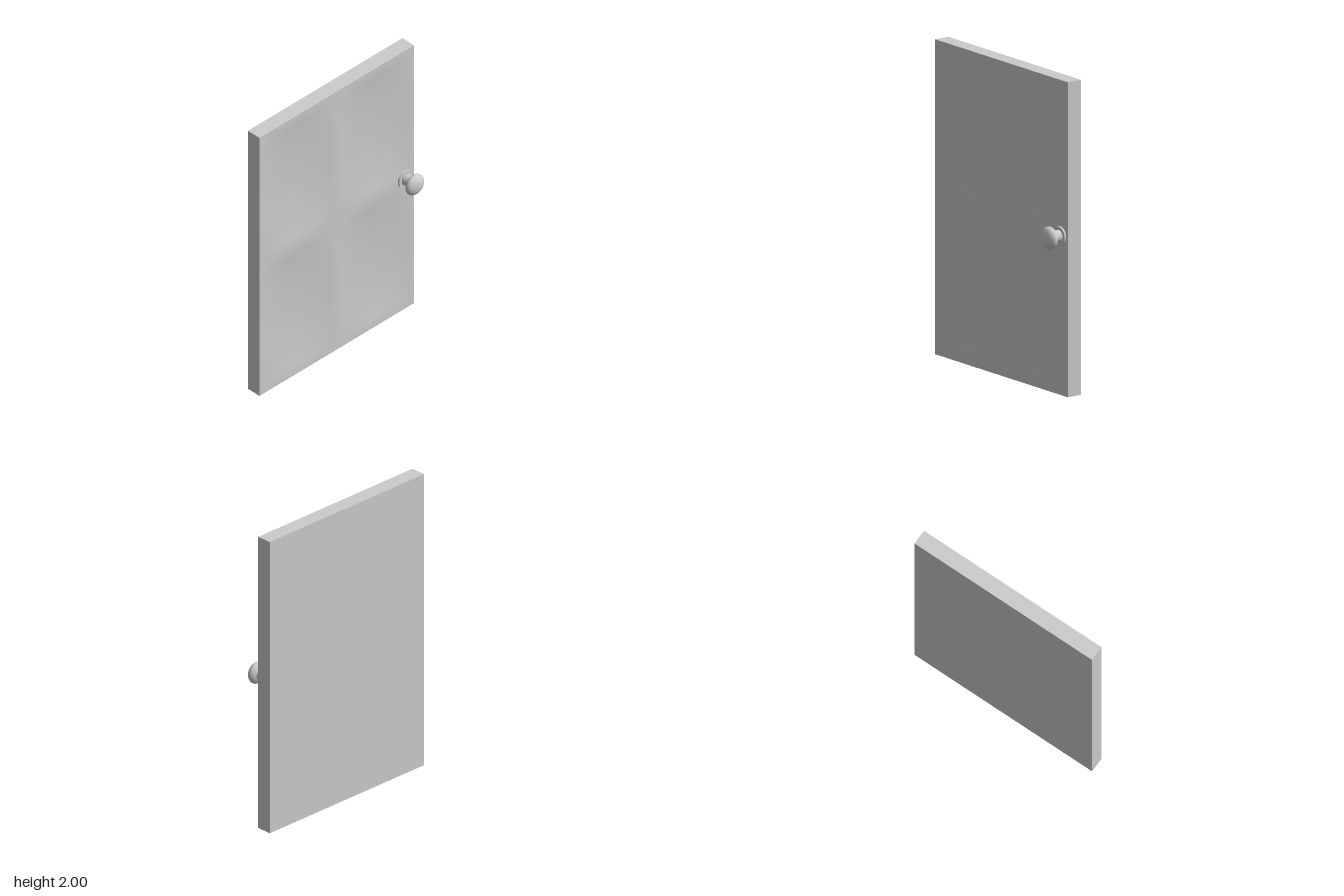
import * as THREE from 'three';

const material = new THREE.MeshStandardMaterial({ color: 0xcccccc });
const WIDTH = 1.332, HEIGHT = 2, THICKNESS = 0.102;

// Hollow across one half of the door: 0 at the narrow rails, 1 in the middle of a panel
function hollow(position, size) {
  const t = Math.abs(position) / (size / 2);
  return Math.max(0, 1 - ((t - 0.5) / 0.46) ** 2);
}

// Door slab whose front carries four softly hollowed panels
function createSlab() {
  const geometry = new THREE.BoxGeometry(WIDTH, HEIGHT, THICKNESS, 48, 64, 1);
  const position = geometry.attributes.position;
  const normal = geometry.attributes.normal;
  for (let i = 0; i < position.count; i++) {
    if (normal.getZ(i) < 0.5) continue;
    const depth = 0.025 * hollow(position.getX(i), WIDTH) * hollow(position.getY(i), HEIGHT);
    position.setZ(i, position.getZ(i) - depth);
  }
  geometry.computeVertexNormals();
  const slab = new THREE.Mesh(geometry, material);
  slab.name = 'doorSlab';
  slab.position.set(0, HEIGHT / 2, -0.063);
  return slab;
}

// Disc along z, from back to front
function createDisc(name, radius, back, front) {
  const geometry = new THREE.CylinderGeometry(radius, radius, front - back, 40);
  geometry.rotateX(Math.PI / 2);
  const disc = new THREE.Mesh(geometry, material);
  disc.name = name;
  disc.position.z = (back + front) / 2;
  return disc;
}

// Round knob on a neck and a round plate
function createKnob() {
  const knob = new THREE.Group();
  knob.name = 'doorKnob';
  const grip = new THREE.Mesh(new THREE.SphereGeometry(0.072, 40, 24), material);
  grip.name = 'knobGrip';
  grip.geometry.rotateX(Math.PI / 2);
  grip.geometry.scale(1, 1, 0.54);
  grip.position.z = 0.074;
  knob.add(
    createDisc('knobPlate', 0.061, -0.014, 0),
    createDisc('knobNeck', 0.039, -0.002, 0.045),
    grip
  );
  knob.position.set(0.588, 1.01, 0);
  return knob;
}

export function createModel() {
  const door = new THREE.Group();
  door.name = 'door';
  door.add(createSlab(), createKnob());
  return door;
}
